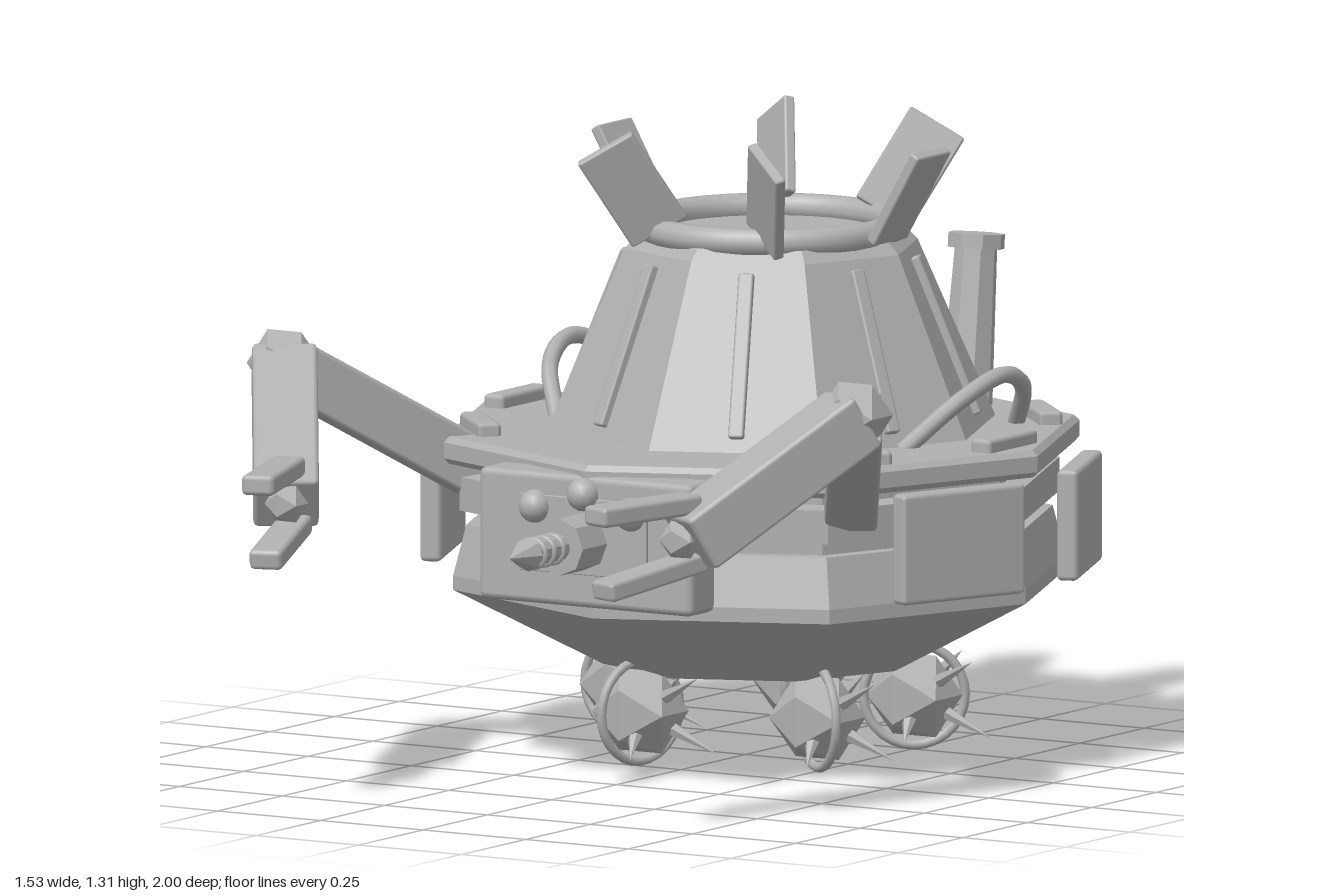
import * as THREE from 'three';
import { toCreasedNormals } from 'three/addons/utils/BufferGeometryUtils.js';
import { RoundedBoxGeometry } from 'three/addons/geometries/RoundedBoxGeometry.js';

const HULL_Z = -0.305, TOWER_Z = -0.35;
const V = (x, y, z) => new THREE.Vector3(x, y, z);

export function createModel() {
  const model = new THREE.Group();
  const metal = new THREE.MeshStandardMaterial({ color: 0xb0b0b0 });
  metal.name = 'grey metal';

  const add = (name, geo, x = 0, y = 0, z = 0, parent = model) => {
    const m = new THREE.Mesh(geo, metal);
    m.name = name;
    m.position.set(x, y, z);
    parent.add(m);
    return m;
  };
  const flat = (geo) => toCreasedNormals(geo, 0.1);
  const box = (w, h, d, r = 0.01) => new RoundedBoxGeometry(w, h, d, 1, r);
  const octagon = (pts) =>
    flat(new THREE.LatheGeometry(pts.map(([r, y]) => new THREE.Vector2(r, y)), 8));
  // Box running from a to b
  const beam = (name, a, b, w, h, r) => {
    const c = a.clone().lerp(b, 0.5);
    const m = add(name, box(w, h, a.distanceTo(b), r), c.x, c.y, c.z);
    m.lookAt(b);
    return m;
  };
  // Cylinder or cone running from a to b
  const rod = (name, a, b, r0, r1, sides, parent) => {
    const c = a.clone().lerp(b, 0.5);
    const m = add(name, flat(new THREE.CylinderGeometry(r1, r0, a.distanceTo(b), sides)), c.x, c.y, c.z, parent);
    m.quaternion.setFromUnitVectors(V(0, 1, 0), b.clone().sub(a).normalize());
    return m;
  };

  // Octagonal body
  add('hull', octagon([[0, 0.2], [0.33, 0.2], [0.648, 0.365], [0.648, 0.395], [0.62, 0.5], [0.585, 0.5],
    [0.585, 0.53], [0.635, 0.53], [0.635, 0.6], [0.585, 0.605], [0.585, 0.635]]), 0, 0, HULL_Z);
  add('deck', octagon([[0, 0.63], [0.665, 0.63], [0.677, 0.642], [0.677, 0.675], [0.665, 0.687], [0, 0.687]]), 0, 0, HULL_Z);
  add('tower', octagon([[0.475, 0.685], [0.31, 1.06], [0.285, 1.085], [0, 1.085]]), 0, 0, TOWER_Z);
  const rim = add('towerRim', new THREE.TorusGeometry(0.255, 0.03, 10, 40), 0, 1.098, TOWER_Z);
  rim.rotation.x = Math.PI / 2;

  // Ribs in the middle of each tower face
  for (let i = 0; i < 8; i++) {
    const a = (i + 0.5) * Math.PI / 4, s = Math.sin(a), c = Math.cos(a);
    beam('towerRib', V(s * 0.43, 0.715, TOWER_Z + c * 0.43), V(s * 0.3, 1.04, TOWER_Z + c * 0.3), 0.032, 0.025, 0.005);
  }

  // Six leaning fins round the rim
  const fin = (x, y, z, l, w) => {
    l.normalize();
    w.addScaledVector(l, -w.dot(l)).normalize();
    const m = add('rimFin', box(0.13, 0.22, 0.024, 0.005), x, y, z);
    m.quaternion.setFromRotationMatrix(new THREE.Matrix4().makeBasis(w, l, w.clone().cross(l)));
  };
  for (const sx of [-1, 1]) {
    fin(sx * 0.335, 1.185, TOWER_Z, V(sx * 0.5, 0.87, 0), V(0, 0, 1));
    for (const sz of [-1, 1])
      fin(sx * 0.163, 1.195, TOWER_Z + sz * 0.28, V(sx * 0.32, 0.84, sz * 0.48), V(-sx * 0.1, 0.06, -sz * 0.05));
  }

  // Armour panels, deck blocks, handrails and chimneys
  add('rearPanel', box(0.31, 0.23, 0.045), 0, 0.518, -0.977);
  for (const sx of [-1, 1]) {
    for (const sz of [-1, 1]) {
      const p = add('sidePanel', box(0.045, 0.23, 0.31), sx * 0.628, 0.518, -0.312 + sz * 0.234);
      p.rotation.y = -sx * sz * Math.PI / 8;
      const b = add('deckBlock', box(0.05, 0.05, 0.18), sx * 0.447, 0.69, -0.312 + sz * 0.377);
      b.rotation.y = -sx * sz * Math.PI / 4;
    }
    add('deckBlock', box(0.05, 0.05, 0.19), sx * 0.593, 0.69, -0.31);

    const path = new THREE.CatmullRomCurve3([V(0.42, 0.68, -0.63), V(0.5, 0.78, -0.53),
      V(0.525, 0.82, -0.41), V(0.5, 0.78, -0.29), V(0.42, 0.68, -0.19)].map((p) => p.setX(p.x * sx)));
    add('handrail', new THREE.TubeGeometry(path, 24, 0.018, 8), 0, 0, 0);

    const top = V(sx * 0.21, 1.01, -0.81);
    rod('chimney', V(sx * 0.21, 0.67, -0.77), top, 0.056, 0.045, 8);
    rod('chimneyCap', top, V(sx * 0.21, 1.04, -0.813), 0.06, 0.06, 8);
  }

  // Front tool plate with knobs and drill
  add('frontPlate', box(0.52, 0.275, 0.1, 0.015), 0, 0.528, 0.325);
  add('frontInset', box(0.31, 0.16, 0.01, 0.002), 0, 0.54, 0.376);
  for (const [x, y] of [[-0.117, 0.595], [0, 0.628], [0.117, 0.595]])
    add('knob', new THREE.SphereGeometry(0.035, 16, 10), x, y, 0.378);
  rod('drillBase', V(0, 0.53, 0.37), V(0, 0.53, 0.475), 0.06, 0.06, 8);
  rod('drillShaft', V(0, 0.53, 0.47), V(0, 0.53, 0.6), 0.028, 0.028, 10);
  for (const z of [0.5, 0.535, 0.57])
    add('drillRing', new THREE.TorusGeometry(0.028, 0.007, 6, 16), 0, 0.53, z);
  rod('drillTip', V(0, 0.53, 0.592), V(0, 0.53, 0.665), 0.036, 0, 8);

  // Two jointed arms with pincers
  for (const s of [-1, 1]) {
    const elbow = V(s * 0.695, 0.85, 0.43);
    beam('upperArm', V(s * 0.45, 0.6, 0.06), elbow, 0.11, 0.12);
    add('elbow', new THREE.IcosahedronGeometry(0.078, 0), elbow.x, elbow.y + 0.005, elbow.z);
    beam('forearm', elbow, V(s * 0.49, 0.615, 0.75), 0.135, 0.125);
    add('wrist', new THREE.IcosahedronGeometry(0.045, 0), s * 0.48, 0.62, 0.765);
    beam('upperFinger', V(s * 0.49, 0.695, 0.735), V(s * 0.41, 0.69, 0.99), 0.07, 0.042);
    beam('lowerFinger', V(s * 0.49, 0.572, 0.71), V(s * 0.41, 0.53, 0.96), 0.07, 0.042);
  }

  // Five spiked rollers in a ring under the hull
  const spikes = [[0.165, 0.085, 0.04], [0.165, -0.085, -0.04], [0.05, -0.085, 0.12],
    [0.04, -0.08, -0.14], [0.04, 0.08, -0.12]];
  for (let i = 0; i < 5; i++) {
    const a = Math.PI + i * Math.PI * 0.4;
    const roller = new THREE.Group();
    roller.name = 'spikedRoller';
    roller.position.set(Math.cos(a) * 0.32, 0.122, HULL_Z + Math.sin(a) * 0.32);
    model.add(roller);
    add('rollerBall', new THREE.IcosahedronGeometry(0.1, 0), 0, 0, 0, roller);
    add('rollerRing', new THREE.TorusGeometry(0.105, 0.01, 8, 28), 0, 0, 0, roller).rotation.y = -a;
    for (const [x, y, z] of spikes) {
      const tip = V(x, y, z);
      rod('rollerSpike', tip.clone().setLength(0.075), tip, 0.016, 0, 6, roller);
    }
  }
  return model;
}
